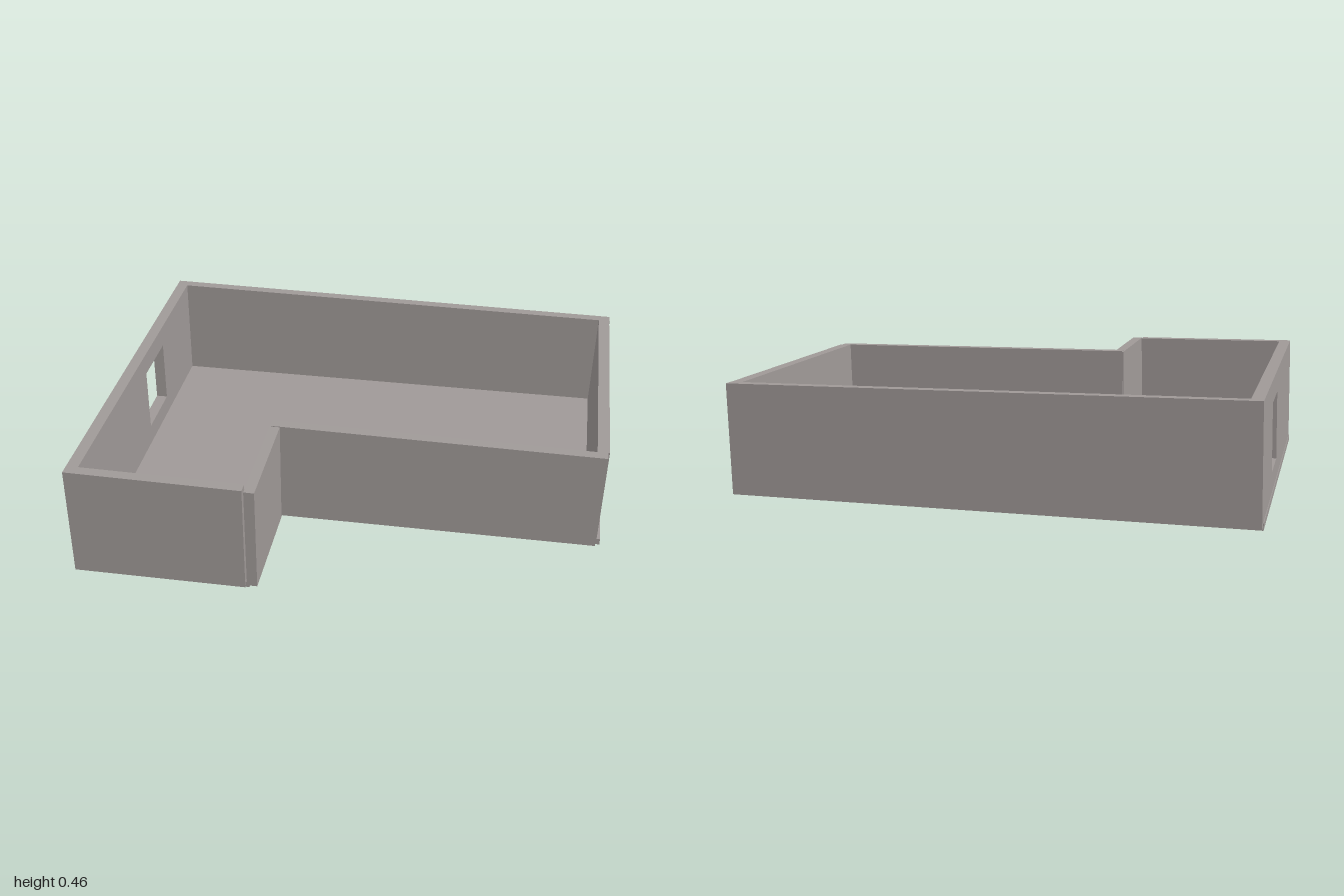
import * as THREE from 'three';

const material = new THREE.MeshStandardMaterial({ color: 0x9f9997, flatShading: true });

// The walls lean slightly to the left and their tops fall towards that side
function lean(geometry) {
  const p = geometry.attributes.position;
  for (let i = 0; i < p.count; i++) {
    const x = p.getX(i), y = p.getY(i);
    p.setXYZ(i, x + 0.02 * y, y - 0.0115 * x * (y / 0.45), p.getZ(i));
  }
  geometry.computeVertexNormals();
  return geometry;
}

export function createModel() {
  const group = new THREE.Group();
  const add = (name, geometry) => {
    const mesh = new THREE.Mesh(geometry, material);
    mesh.name = name;
    group.add(mesh);
  };
  const wall = (name, x0, x1, y0, y1, z0, z1) => {
    const g = new THREE.BoxGeometry(x1 - x0, y1 - y0, z1 - z0);
    g.translate((x0 + x1) / 2, (y0 + y1) / 2, (z0 + z1) / 2);
    add(name, lean(g));
  };

  // L-shaped floor slab
  const plan = [[-1, -0.745], [1, -0.745], [1, 0.305], [-0.31, 0.305], [-0.31, 0.775], [-1, 0.775]];
  const floorShape = new THREE.Shape(plan.map(([x, z]) => new THREE.Vector2(x, -z)));
  const floor = new THREE.ExtrudeGeometry(floorShape, { depth: 0.026, bevelEnabled: false });
  add('floor', floor.rotateX(-Math.PI / 2));

  // Right-hand side wall of the plan with a window opening, drawn in z and y
  const side = new THREE.Shape();
  side.moveTo(-0.745, 0.02).lineTo(0.738, 0.02).lineTo(0.738, 0.45).lineTo(-0.745, 0.45).closePath();
  const opening = new THREE.Path();
  opening.moveTo(-0.33, 0.105).lineTo(-0.33, 0.365).lineTo(-0.085, 0.365).lineTo(-0.085, 0.105).closePath();
  side.holes.push(opening);
  const sideWall = new THREE.ExtrudeGeometry(side, { depth: 0.046, bevelEnabled: false });
  sideWall.rotateY(-Math.PI / 2).translate(-0.952, 0, 0);
  add('windowWall', lean(sideWall));

  // Walls standing on the slab
  wall('shortFrontWall', -0.998, -0.325, 0.001, 0.45, 0.738, 0.78);
  wall('leftWall', 0.94, 0.986, 0.026, 0.45, -0.745, 0.305);

  // Walls hung against the slab edges
  wall('backWall', -0.998, 0.988, 0.012, 0.45, -0.785, -0.745);
  wall('longFrontWall', -0.312, 0.98, 0.022, 0.45, 0.305, 0.345);
  wall('returnWall', -0.318, -0.278, 0.014, 0.447, 0.31, 0.782);

  return group;
}
